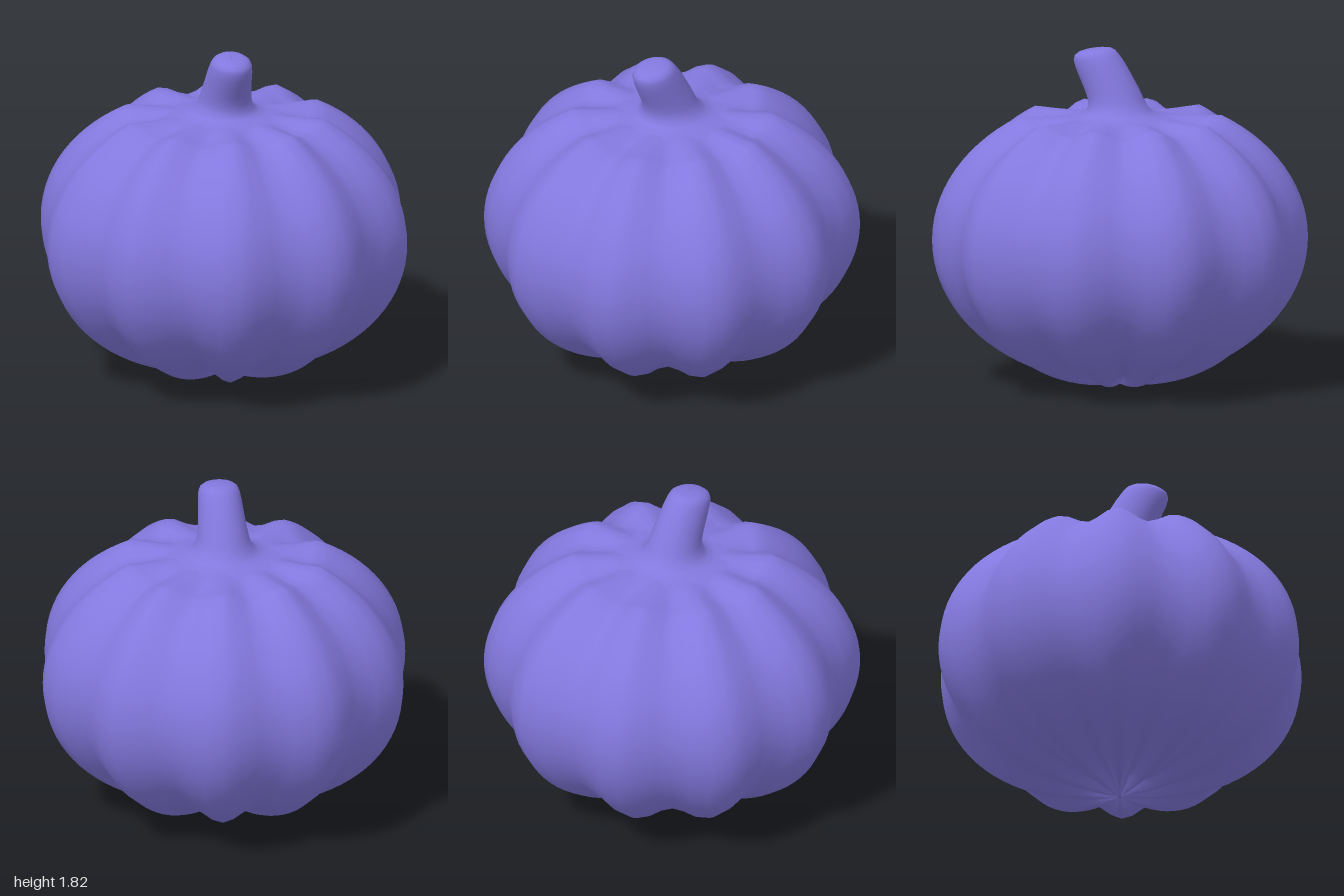
import * as THREE from 'three';

const SEGMENTS = 60;
const RIBS = 10;
const RIB_PHASE = THREE.MathUtils.degToRad(12.5);

// Closed smooth skin over stacked rings, bottom to top; ring(i, angle) gives [x, y, z]
function loft(count, ring) {
  const positions = [], index = [];
  for (let i = 0; i < count; i++) {
    for (let j = 0; j < SEGMENTS; j++) {
      positions.push(...ring(i, (j / SEGMENTS) * Math.PI * 2));
      if (i === count - 1) continue;
      const a = i * SEGMENTS + j, b = i * SEGMENTS + (j + 1) % SEGMENTS;
      index.push(a, a + SEGMENTS, b, b, a + SEGMENTS, b + SEGMENTS);
    }
  }
  const geometry = new THREE.BufferGeometry();
  geometry.setAttribute('position', new THREE.Float32BufferAttribute(positions, 3));
  geometry.setIndex(index);
  geometry.computeVertexNormals();
  return geometry;
}

// Squashed ribbed globe with a flattened top
function bodyGeometry() {
  const R = 1.005, H = 0.79, SIDE = 36, CAP = 10;
  const topPhi = Math.PI - Math.acos(0.842);
  return loft(SIDE + CAP + 1, (i, angle) => {
    const phi = Math.max(0.004, topPhi * Math.min(i / SIDE, 1));
    let r = R * Math.sin(phi);
    let y = -H * Math.cos(phi);
    let depth = THREE.MathUtils.smoothstep(Math.sin(phi), 0, 0.14);
    if (i > SIDE) {
      // the flat top runs inward while the grooves fade out
      const t = (i - SIDE) / CAP;
      r *= Math.max(1 - t, 0.004);
      depth = 1 - THREE.MathUtils.smoothstep(t, 0, 0.65);
    }
    const m = 1 - 0.04 * depth * (1 - Math.cos(RIBS * (angle - RIB_PHASE)));
    return [r * m * Math.sin(angle), H + y * m, -r * m * Math.cos(angle)];
  });
}

// Flared stem leaning forward, with a tilted rounded tip
function stemGeometry() {
  // height, z centre, x radius, z radius, tilt
  const rings = [
    [1.449, 0, 0.30, 0.29, 0],
    [1.458, 0, 0.235, 0.23, 0],
    [1.472, 0.002, 0.19, 0.19, 0],
    [1.5, 0.01, 0.152, 0.163, 0],
    [1.55, 0.026, 0.138, 0.15, 0.02],
    [1.6, 0.048, 0.13, 0.147, 0.04],
    [1.66, 0.08, 0.123, 0.141, 0.08],
    [1.72, 0.112, 0.117, 0.134, 0.12],
    [1.765, 0.136, 0.11, 0.123, 0.15],
    [1.788, 0.143, 0.1, 0.11, 0.15],
    [1.803, 0.144, 0.08, 0.088, 0.15],
    [1.81, 0.144, 0.05, 0.055, 0.15],
    [1.812, 0.144, 0.002, 0.002, 0.15],
  ];
  return loft(rings.length, (i, angle) => {
    const [y, zc, rx, rz, tilt] = rings[i];
    const dz = -rz * Math.cos(angle);
    return [rx * Math.sin(angle), y - tilt * dz, zc + dz];
  });
}

export function createModel() {
  const skin = new THREE.MeshStandardMaterial({ color: 0x8378de });
  skin.name = 'violet';
  const model = new THREE.Group();
  model.name = 'pumpkin';
  const parts = { body: bodyGeometry(), stem: stemGeometry() };
  for (const [name, geometry] of Object.entries(parts)) {
    const mesh = new THREE.Mesh(geometry, skin);
    mesh.name = name;
    model.add(mesh);
  }
  return model;
}
